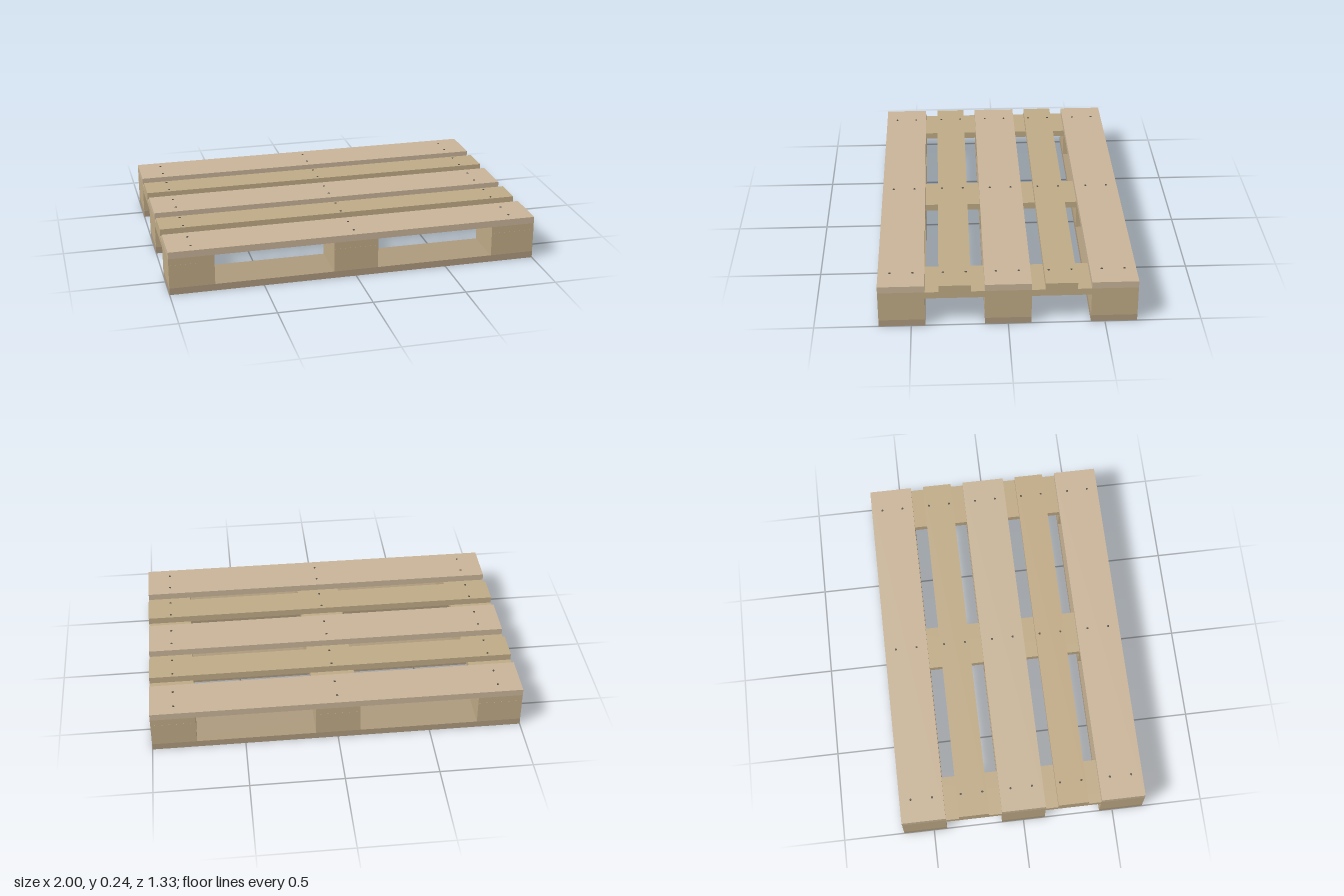
import * as THREE from 'three';

const wood = (color) => new THREE.MeshStandardMaterial({ color });

export function createModel() {
  const pallet = new THREE.Group();
  pallet.name = 'pallet';
  const wideWood = wood(0xc8b498), wood2 = wood(0xbfaa86), baseWood = wood(0xad9a7e), steel = wood(0x55524e);

  const T = 0.037;                    // board thickness
  const W = 0.24, N = 0.165;          // wide and narrow board widths
  const L = 2, D = 1.333, H = 0.24;   // overall size
  const deckY = H - T, blockTop = deckY - T;
  const columns = [-0.88, 0, 0.88];
  const rows = [-0.547, 0, 0.547];

  const box = (name, w, h, d, x, y, z, material) => {
    const mesh = new THREE.Mesh(new THREE.BoxGeometry(w, h, d), material);
    mesh.name = name;
    mesh.position.set(x, y + h / 2, z);
    pallet.add(mesh);
  };

  // Runners: bottom board with three blocks on it
  for (const z of rows) {
    box('bottomBoard', L, T, W, 0, 0, z, baseWood);
    for (const x of columns) box('block', W, blockTop - T, W, x, T, z, wood2);
  }

  // Cross boards tying the runners together
  for (const x of columns) box('crossBoard', W, T, D, x, blockTop, 0, wood2);

  // Deck boards, alternating wide and narrow, each with pairs of nails
  const nailGeometry = new THREE.CylinderGeometry(0.006, 0.006, 0.006, 10);
  [-0.547, -0.2725, 0, 0.2725, 0.547].forEach((z, i) => {
    const wide = i % 2 === 0;
    box('deckBoard', L, T, wide ? W : N, 0, deckY, z, wide ? wideWood : wood2);
    for (const x of [-0.873, 0, 0.873]) {
      for (const s of [-1, 1]) {
        const nail = new THREE.Mesh(nailGeometry, steel);
        nail.name = 'nailHead';
        nail.position.set(x, H - 0.001, z + s * 0.059);
        pallet.add(nail);
      }
    }
  });

  return pallet;
}
